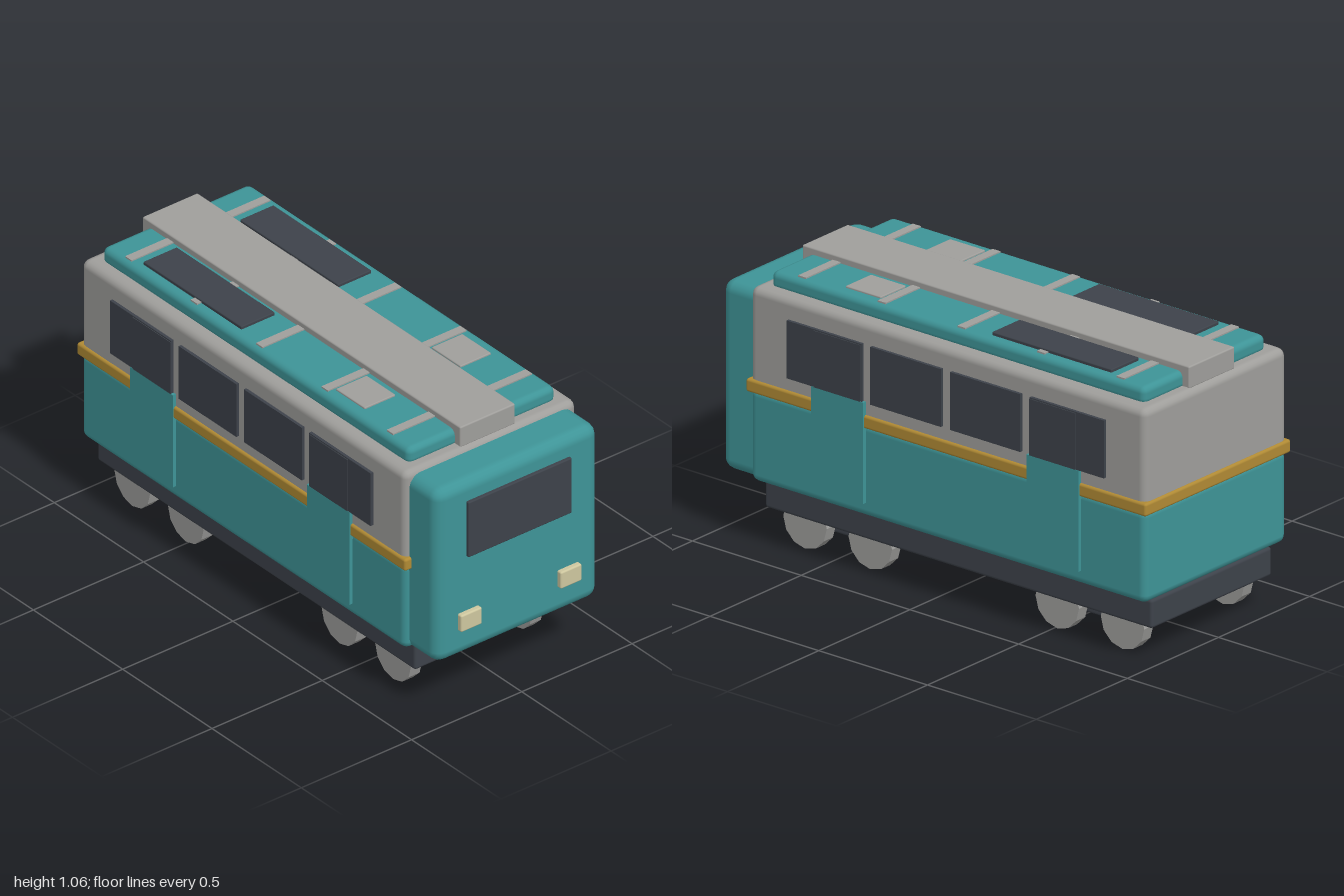
import * as THREE from 'three';
import { RoundedBoxGeometry } from 'three/addons/geometries/RoundedBoxGeometry.js';

const mat = (name, color, extra = {}) => Object.assign(new THREE.MeshStandardMaterial({ color, ...extra }), { name });

export function createModel() {
  const model = new THREE.Group();
  model.name = 'railcar';
  const teal = mat('teal paint', 0x3e9497);
  const grey = mat('warm grey', 0x9f9e9b);
  const dark = mat('dark slate', 0x3d424a);
  const gold = mat('gold trim', 0xb08a34);
  const cream = mat('lamp cream', 0xcdc69e);
  const wheelGrey = mat('wheel grey', 0x9c9c9a);
  wheelGrey.flatShading = true;

  // Box given by its extents on each axis, with an optional rounded edge
  function box(name, material, [x0, x1], [y0, y1], [z0, z1], r = 0) {
    const size = [x1 - x0, y1 - y0, z1 - z0];
    const geo = r ? new RoundedBoxGeometry(...size, 2, r) : new THREE.BoxGeometry(...size);
    const mesh = new THREE.Mesh(geo, material);
    mesh.name = name;
    mesh.position.set((x0 + x1) / 2, (y0 + y1) / 2, (z0 + z1) / 2);
    model.add(mesh);
    return mesh;
  }
  // The same box on both sides of the car
  function pair(name, material, xs, ys, [z0, z1], r) {
    box(name + 'Left', material, xs, ys, [z0, z1], r);
    box(name + 'Right', material, xs, ys, [-z1, -z0], r);
  }

  // Body shell
  box('underframe', dark, [-0.97, 0.81], [0.125, 0.235], [-0.33, 0.33], 0.012);
  box('lowerBody', teal, [-0.99, 0.83], [0.24, 0.595], [-0.39, 0.39], 0.03);
  box('upperBody', grey, [-0.99, 0.83], [0.57, 0.98], [-0.39, 0.39], 0.03);
  box('waistBand', gold, [-1, 0.84], [0.58, 0.63], [-0.4, 0.4], 0.01);

  // Driver's cab
  box('cab', teal, [0.72, 0.98], [0.24, 0.962], [-0.37, 0.37], 0.045);
  box('windscreen', dark, [0.97, 0.993], [0.65, 0.88], [-0.235, 0.235], 0.005);
  pair('headlight', cream, [0.965, 1], [0.355, 0.425], [0.178, 0.274], 0.007);

  // Side windows
  for (const [a, b] of [[-0.81, -0.467], [-0.425, -0.102], [-0.06, 0.265], [0.305, 0.65]]) {
    pair('sideWindow', dark, [a, b], [0.68, 0.9], [0.385, 0.402]);
  }

  // Doors, each with its own pane
  for (const x of [-0.575, 0.415]) {
    pair('door', teal, [x - 0.12, x + 0.12], [0.295, 0.68], [0.38, 0.404]);
    pair('doorWindow', dark, [x - 0.105, x + 0.108], [0.68, 0.895], [0.385, 0.405]);
  }

  // Roof with ribs, panels, hatches and central duct
  box('roof', teal, [-0.94, 0.78], [0.965, 1.035], [-0.335, 0.335], 0.025);
  for (let i = 0; i < 5; i++) {
    const x = -0.813 + i * 0.366;
    box('roofRib', grey, [x - 0.018, x + 0.018], [1, 1.04], [-0.315, 0.315]);
  }
  pair('roofPanel', dark, [-0.755, -0.205], [1.01, 1.047], [0.143, 0.295], 0.004);
  pair('roofHatch', grey, [0.313, 0.475], [1.01, 1.042], [0.147, 0.287], 0.004);
  box('roofDuct', grey, [-0.97, 0.81], [0.975, 1.06], [-0.125, 0.125], 0.006);

  // Bogies and twelve-sided wheels
  const wheelGeo = new THREE.CylinderGeometry(0.1, 0.1, 0.05, 12).rotateX(Math.PI / 2);
  for (const x of [-0.66, 0.5]) {
    box('bogie', dark, [x - 0.21, x + 0.21], [0.07, 0.14], [-0.25, 0.25], 0.01);
    for (const dx of [-0.15, 0.15]) for (const z of [-0.275, 0.275]) {
      const wheel = new THREE.Mesh(wheelGeo, wheelGrey);
      wheel.name = 'wheel';
      wheel.position.set(x + dx, 0.1, z);
      model.add(wheel);
    }
  }
  return model;
}
